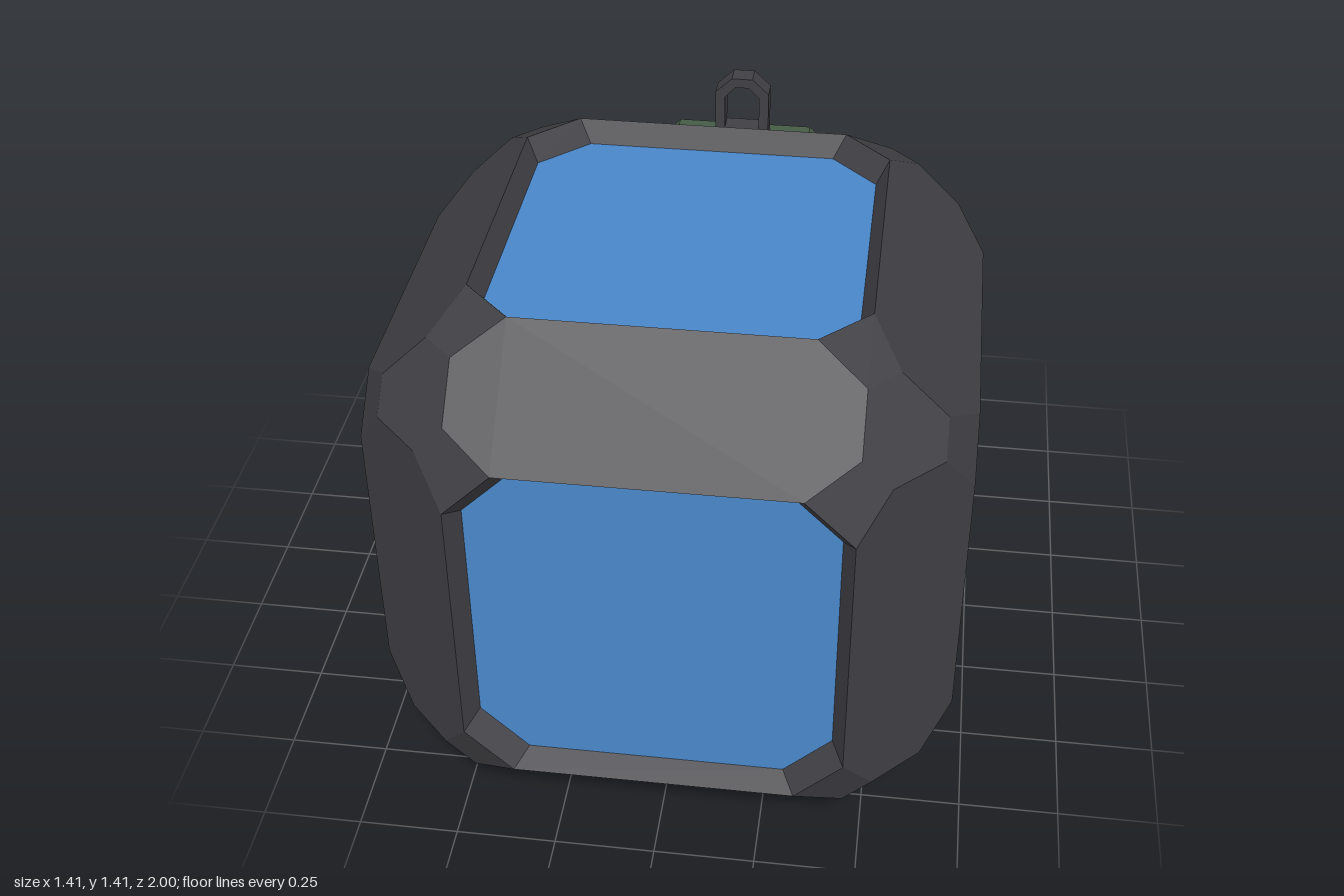
import * as THREE from 'three';

const mat = (name, color) => new THREE.MeshStandardMaterial({ name, color, flatShading: true });

// Chamfered square outline: half size h, straight run ends at c
const octagon = (h, c) =>
  [[h, -c], [h, c], [c, h], [-c, h], [-h, c], [-h, -c], [-c, -h], [c, -h]];
const toShape = (pts) => new THREE.Shape(pts.map(([x, y]) => new THREE.Vector2(x, y)));

// Collects flat polygons, each turned to face a reference direction
class Faces {
  constructor() { this.data = []; }
  add(pts, facing) {
    const v = pts.map((p) => new THREE.Vector3(...p));
    const n = v[1].clone().sub(v[0]).cross(v[2].clone().sub(v[0]));
    if (n.dot(facing) < 0) v.reverse();
    for (let i = 1; i < v.length - 1; i++)
      for (const p of [v[0], v[i], v[i + 1]]) this.data.push(p.x, p.y, p.z);
  }
  build() {
    const g = new THREE.BufferGeometry();
    g.setAttribute('position', new THREE.Float32BufferAttribute(this.data, 3));
    g.computeVertexNormals();
    return g;
  }
}

const R = 0.705;      // half size of the body
const H = 0.455;      // half size of each opening
const C = 0.34;       // start of the opening's corner cut
const GLASS = 0.65;   // distance of the panes from the centre
const M = 0.525, N = 0.635; // corner cap offsets
const SIGNS = [-1, 1];

// Cyclic axis change: k = 0, 1, 2 sends z to z, x, y
const cycle = ([x, y, z], k) => (k === 0 ? [x, y, z] : k === 1 ? [z, x, y] : [y, z, x]);

function frameGeometry() {
  const f = new Faces();
  const put = (pts, facing, k) =>
    f.add(pts.map((p) => cycle(p, k)), new THREE.Vector3(...cycle(facing, k)));
  for (let k = 0; k < 3; k++) {
    for (const s of SIGNS) {
      // bevelled rim leading in to each pane
      const outer = octagon(H, C), inner = octagon(0.425, 0.31);
      for (let i = 0; i < 8; i++) {
        const j = (i + 1) % 8;
        const a = outer[i], b = outer[j];
        put([[...a, s * R], [...b, s * R], [...inner[j], s * GLASS], [...inner[i], s * GLASS]],
          [-(a[0] + b[0]), -(a[1] + b[1]), s * 0.3], k);
      }
      for (const t of SIGNS) {
        // edge bar running along x
        const half = [[C, R, H], [H, N, M], [H, M, N], [C, H, R]];
        const bar = [...half, ...half.map(([x, y, z]) => [-x, y, z]).reverse()];
        put(bar.map(([x, y, z]) => [x, s * y, t * z]), [0, s, t], k);
        // sloping facets at the corners of each opening
        put([[s * C, t * H, R], [s * H, t * C, R], [s * M, t * H, N], [s * H, t * M, N]], [s, t, 1], k);
        put([[s * C, t * H, -R], [s * H, t * C, -R], [s * M, t * H, -N], [s * H, t * M, -N]], [s, t, -1], k);
      }
    }
  }
  // hexagonal corner caps
  const hex = [[H, M, N], [M, H, N], [N, H, M], [N, M, H], [M, N, H], [H, N, M]];
  for (const a of SIGNS) for (const b of SIGNS) for (const c of SIGNS)
    put(hex.map(([x, y, z]) => [a * x, b * y, c * z]), [a, b, c], 0);
  return f.build();
}

export function createModel() {
  const model = new THREE.Group();
  model.name = 'cubePod';
  const darkGrey = mat('darkGrey', 0x403f44);
  const glassBlue = mat('glassBlue', 0x4a87c9);
  const green = mat('green', 0x455c45);
  const red = mat('red', 0xac3410);
  const add = (parent, name, geo, material, x = 0, y = 0, z = 0) => {
    const m = new THREE.Mesh(geo, material);
    m.name = name;
    m.position.set(x, y, z);
    parent.add(m);
    return m;
  };

  // Body: chamfered frame with six panes
  const body = new THREE.Group();
  body.name = 'body';
  body.position.set(0, R, 0.295);
  model.add(body);
  add(body, 'frame', frameGeometry(), darkGrey);
  const paneGeo = new THREE.ShapeGeometry(toShape(octagon(0.425, 0.31)));
  const panes = [
    ['frontPane', 0, 0], ['leftPane', 0, Math.PI / 2], ['backPane', 0, Math.PI],
    ['rightPane', 0, -Math.PI / 2], ['topPane', -Math.PI / 2, 0], ['bottomPane', Math.PI / 2, 0],
  ];
  for (const [name, rx, ry] of panes) {
    const pane = add(body, name, paneGeo, glassBlue);
    pane.rotation.set(rx, ry, 0);
    pane.position.set(0, 0, GLASS).applyEuler(pane.rotation);
  }

  // Rear launcher: octagonal tube with a recessed end
  const launcher = new THREE.Group();
  launcher.name = 'launcher';
  launcher.position.set(0, R, 0);
  model.add(launcher);
  const wall = toShape(octagon(0.285, 0.195));
  wall.holes.push(new THREE.Path(octagon(0.238, 0.168).map(([x, y]) => new THREE.Vector2(x, y))));
  add(launcher, 'launcherTube',
    new THREE.ExtrudeGeometry(wall, { depth: 0.61, bevelEnabled: false }), green, 0, 0, -0.96);
  add(launcher, 'launcherEndPlate',
    new THREE.ShapeGeometry(toShape(octagon(0.24, 0.17))), darkGrey, 0, 0, -0.92).rotation.y = Math.PI;

  // Four faceted warheads
  const ball = new THREE.IcosahedronGeometry(0.08, 1);
  for (const x of SIGNS) for (const y of SIGNS)
    add(launcher, 'warhead', ball, red, x * 0.108, y * 0.105, -0.92);

  // Sight: base plate and arched loop
  const sight = new THREE.Group();
  sight.name = 'sight';
  model.add(sight);
  add(sight, 'sightBase', new THREE.BoxGeometry(0.156, 0.03, 0.28), darkGrey, 0, 1.0, -0.782);
  const arch = (w, c, low, shoulder, top) =>
    [[-w, low], [w, low], [w, shoulder], [c, top], [-c, top], [-w, shoulder]];
  const loop = toShape(arch(0.078, 0.03, 1.0, 1.14, 1.185));
  loop.holes.push(new THREE.Path(
    arch(0.05, 0.02, 1.025, 1.125, 1.157).map(([x, y]) => new THREE.Vector2(x, y))));
  add(sight, 'sightLoop',
    new THREE.ExtrudeGeometry(loop, { depth: 0.06, bevelEnabled: false }), darkGrey, 0, 0, -0.922);

  return model;
}
